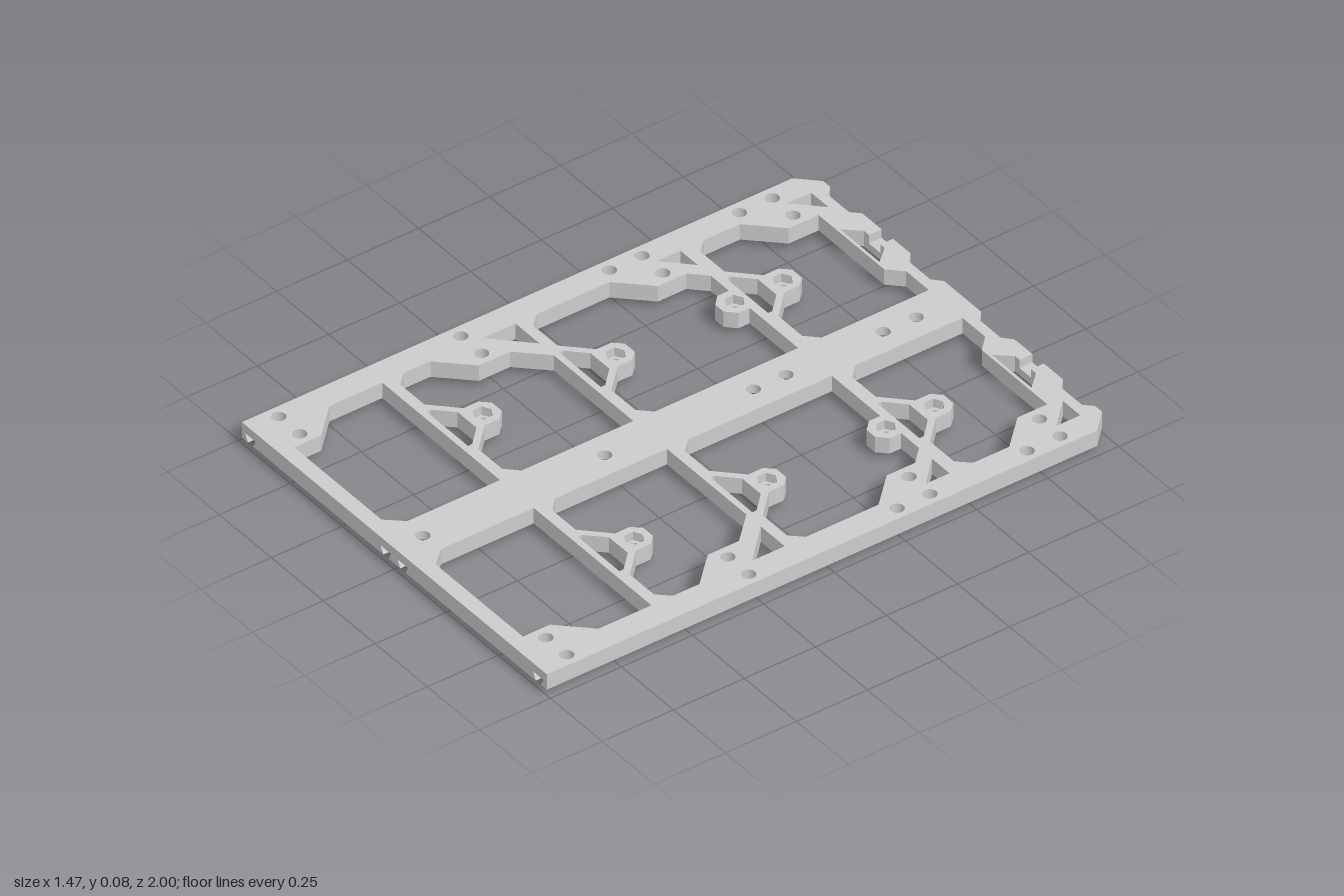
import * as THREE from 'three';

const W = 0.733, INNER = 0.647, SPINE = 0.081, BX = 0.364;
const Y0 = 0.02, YM = 0.045, Y1 = 0.075;
const GX = 0.692, GROOVE_END = -0.93, BORE = 0.035;
const bossZ = [-0.633, -0.045, 0.423];
const railHoles = [0.9, 0.26, -0.263, -0.378, -0.72, -0.836];
const gussetHoles = [0.9, 0.26, -0.378, -0.836];
const mat = new THREE.MeshStandardMaterial({ color: 0xcccccc });

const mirror = pts => pts.map(([x, z]) => [-x, z]).reverse();
const toShape = pts => new THREE.Shape(pts.map(([x, z]) => new THREE.Vector2(x, z)));
const ring = (x, z, r, n, a = 0) => Array.from({ length: n }, (_, i) => {
  const t = a + (i / n) * Math.PI * 2;
  return [x + r * Math.cos(t), z + r * Math.sin(t)];
});

// Extrude an (x, z) plan downwards from yTop to yBottom
function slab(outline, holes, yTop, yBottom) {
  const s = toShape(outline);
  s.holes = holes.map(toShape);
  const g = new THREE.ExtrudeGeometry(s, { depth: yTop - yBottom, bevelEnabled: false });
  return g.rotateX(Math.PI / 2).translate(0, yTop, 0);
}

// Lower edge of a window, running round a screw boss held on two struts
const bossEdge = zb => [
  [INNER, zb + 0.07], [0.61, zb + 0.11], [BX + 0.13, zb + 0.11], [BX + 0.05, zb + 0.03],
  [BX + 0.05, zb - 0.022], [BX + 0.024, zb - 0.05], [BX - 0.024, zb - 0.05], [BX - 0.05, zb - 0.022],
  [BX - 0.05, zb + 0.03], [BX - 0.13, zb + 0.11], [0.12, zb + 0.11], [SPINE, zb + 0.07],
];

// Openings of one half of the frame
const windows = [
  [[SPINE, -0.94], [0.19, -0.94], [0.235, -0.895], [0.55, -0.895], [0.55, -0.79], [INNER, -0.69], ...bossEdge(bossZ[0])],
  [[SPINE, -0.48], [BX - 0.05, -0.48], [BX - 0.05, -0.44], [BX - 0.02, -0.41], [BX + 0.02, -0.41],
    [BX + 0.05, -0.44], [BX + 0.05, -0.48], [0.5, -0.48], [0.55, -0.43], [0.55, -0.33], [INNER, -0.23], ...bossEdge(bossZ[1])],
  [[SPINE, 0.1], [0.463, 0.1], [0.55, 0.19], [0.55, 0.3], [INNER, 0.4], ...bossEdge(bossZ[2])],
  [[SPINE, 0.569], [INNER, 0.569], [INNER, 0.755], [0.55, 0.855], [0.55, 0.95], [0.13, 0.95], [SPINE, 0.895]],
  // strut triangles behind the bosses
  ...bossZ.map(zb => [[BX - 0.1, zb + 0.125], [BX - 0.1, zb + 0.11], [BX - 0.045, zb + 0.055],
    [BX + 0.045, zb + 0.055], [BX + 0.1, zb + 0.11], [BX + 0.1, zb + 0.125]]),
  // gusset triangles
  ...[[-0.94, 0.084], [-0.48, 0.084], [0.1, 0.115]].map(([z, s]) => [[INNER - s, z], [INNER, z], [INNER, z + s]]),
];
const bosses = [...bossZ, -0.463];
const both = list => [...list, ...list.map(mirror)];

// Scalloped back edge, from the outer corner to the middle
const cornerEdge = [[W, 1], [W, -0.937], [0.67, -1], [0.637, -1], [0.61, -0.973], [0.51, -0.973], [0.483, -1]];
const middleEdge = [[0.25, -1], [0.22, -0.973], [0.12, -0.973], [0.088, -1]];
const backNotch = [[0.39, -1], [0.39, -0.955], [0.414, -0.955], [0.46, -0.905],
  [0.27, -0.905], [0.314, -0.955], [0.335, -0.955], [0.335, -1]];
const backPocket = [[0.314, -0.955], [0.414, -0.955], [0.46, -0.905], [0.27, -0.905]];

// Groove outline along a rail, widened by a round bore at each screw hole
function railGroove(cx) {
  const h = 0.012, a0 = Math.acos(h / BORE), side = [[-h, 1]];
  for (const z of railHoles) {
    for (let i = 0; i <= 10; i++) {
      const t = a0 - (2 * a0 * i) / 10;
      side.push([-BORE * Math.cos(t), z + BORE * Math.sin(t)]);
    }
  }
  side.push([-h, GROOVE_END]);
  return [...side, ...mirror(side)].map(([x, z]) => [x + cx, z]);
}

export function createModel() {
  const group = new THREE.Group();
  const add = (name, geo) => {
    const m = new THREE.Mesh(geo, mat);
    m.name = name;
    group.add(m);
  };

  // Upper plate with screw holes and hexagonal nut pockets
  const topHalf = [...cornerEdge, ...backNotch, ...middleEdge];
  add('upperPlate', slab([...topHalf, ...mirror(topHalf)], [
    ...both([
      ...windows,
      ...bosses.map(z => ring(BX, z, 0.031, 6, Math.PI / 6)),
      ...railHoles.map(z => ring(GX, z, 0.022, 24)),
      ...gussetHoles.map(z => ring(0.592, z, 0.022, 24)),
    ]),
    ...railHoles.map(z => ring(0, z, 0.022, 24)),
  ], Y1, YM));

  // Lower plate, split by dovetail grooves open at the front
  const lowHalf = [...cornerEdge, ...middleEdge];
  const spineGroove = [[-0.053, 1], [-0.053, GROOVE_END], [0.053, GROOVE_END], [0.053, 1]];
  const lower = slab(
    [...lowHalf, ...mirror(lowHalf), ...railGroove(-GX), ...spineGroove, ...railGroove(GX)],
    both([
      ...windows, backPocket,
      ...bosses.map(z => ring(BX, z, 0.018, 24)),
      ...gussetHoles.map(z => ring(0.592, z, BORE, 28)),
    ]), YM, Y0);
  // Undercut: groove walls lean outward towards their ceiling
  const p = lower.attributes.position;
  for (let i = 0; i < p.count; i++) {
    if (p.getY(i) < YM - 0.001) continue;
    const x = p.getX(i), s = Math.sign(x), ax = Math.abs(x);
    for (const [from, to] of [[GX - 0.012, GX - 0.025], [GX + 0.012, GX + 0.025], [0.053, 0.066]]) {
      if (Math.abs(ax - from) < 1e-4) p.setX(i, s * to);
    }
  }
  lower.computeVertexNormals();
  add('lowerPlate', lower);

  // Dovetail ridge under the spine, interrupted at each screw hole
  const ridge = toShape([[-0.028, Y0], [0.028, Y0], [0.016, YM], [-0.016, YM]]);
  let front = 1;
  for (const z of [...railHoles, GROOVE_END - BORE]) {
    const back = z + BORE;
    if (front - back > 0.01) {
      const g = new THREE.ExtrudeGeometry(ridge, { depth: front - back, bevelEnabled: false });
      add('spineRidge', g.translate(0, 0, back));
    }
    front = z - BORE;
  }

  // Thin locating tabs below the front edge
  const tab = toShape([[-0.036, 0], [0.036, 0], [0.058, Y0], [-0.058, Y0]]);
  for (const x of [-0.492, -0.242, 0.238, 0.492]) {
    const g = new THREE.ExtrudeGeometry(tab, { depth: 0.012, bevelEnabled: false });
    add('frontTab', g.translate(x, 0, 0.972));
  }
  return group;
}
